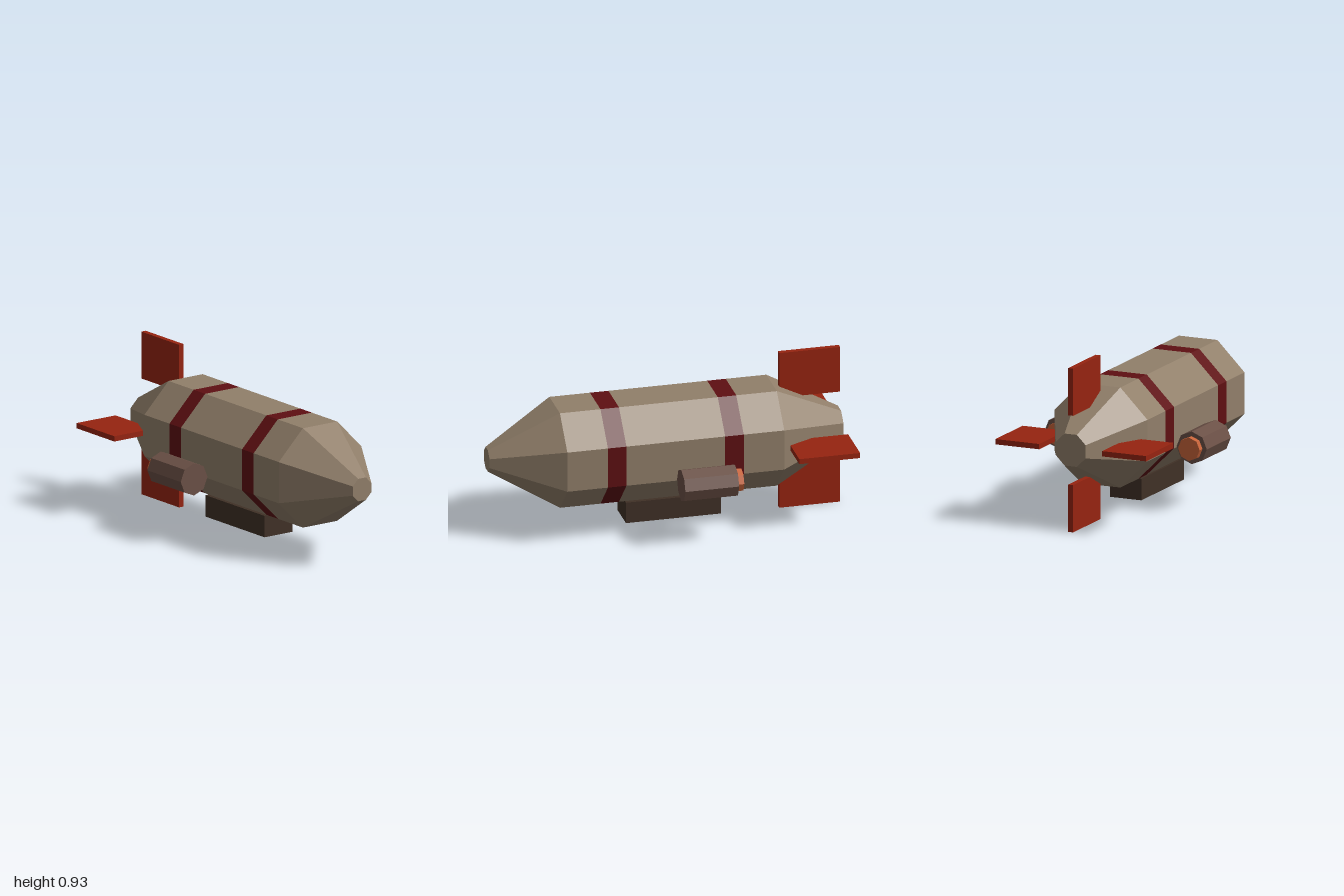
import * as THREE from 'three';

const material = (name, color) => {
  const m = new THREE.MeshStandardMaterial({ color });
  m.name = name;
  return m;
};

// Faceted normals baked into the geometry
const faceted = (geometry) => {
  const g = geometry.toNonIndexed();
  g.computeVertexNormals();
  return g;
};

export function createModel() {
  const model = new THREE.Group();
  model.name = 'airship';

  const canvas = material('canvas', 0x917f6a);
  const band = material('bandRed', 0x5e0f12);
  const finRed = material('finRed', 0x962410);
  const engineBrown = material('engineBrown', 0x6b5046);
  const darkWood = material('darkWood', 0x403026);
  const glow = material('exhaustOrange', 0xc8643a);

  const add = (name, geometry, mat, x, y, z, parent = model) => {
    const mesh = new THREE.Mesh(geometry, mat);
    mesh.name = name;
    mesh.position.set(x, y, z);
    parent.add(mesh);
    return mesh;
  };

  // Eight-sided section along z; turn sets whether flats or corners face up
  const section = (front, back, length, turn, open) =>
    faceted(new THREE.CylinderGeometry(front, back, length, 8, 1, open, turn).rotateX(Math.PI / 2));

  // Hull: sections between [z, radius] stations, front to back
  const axisY = 0.463;
  const R = 0.283 / Math.cos(Math.PI / 8);
  const flat = Math.PI / 8;
  const stations = [
    [1, 0.069], [0.615, R], [0.385, R], [0.28, R],
    [-0.28, R], [-0.385, R], [-0.615, R], [-1, 0.098],
  ];
  const names = ['nose', 'hullFront', 'frontBand', 'hullMiddle', 'rearBand', 'hullRear', 'tail'];
  const hull = new THREE.Group();
  hull.name = 'hull';
  model.add(hull);
  names.forEach((name, i) => {
    const [z0, r0] = stations[i];
    const [z1, r1] = stations[i + 1];
    add(name, section(r0, r1, z0 - z1, flat, true),
      name.endsWith('Band') ? band : canvas, 0, axisY, (z0 + z1) / 2, hull);
  });

  // End caps
  add('noseCap', new THREE.CircleGeometry(0.069, 8, flat), canvas, 0, axisY, 1, hull);
  add('tailCap', new THREE.CircleGeometry(0.098, 8, flat).rotateY(Math.PI), canvas, 0, axisY, -1, hull);

  // Gondola slung below the hull
  add('gondola', new THREE.BoxGeometry(0.192, 0.122, 0.54), darkWood, 0, 0.099, -0.035);

  // Upright tail fins
  const finZ = -0.8275, finLength = 0.345;
  const upright = new THREE.BoxGeometry(0.03, 0.267, finLength);
  add('topFin', upright, finRed, 0, 0.7925, finZ);
  add('bottomFin', upright, finRed, 0, 0.1335, finZ);

  // Side fins and engines, mirrored
  for (const [side, s] of [['left', 1], ['right', -1]]) {
    add(side + 'Fin', new THREE.BoxGeometry(0.267, 0.03, finLength), finRed, s * 0.3255, axisY, finZ);
    const engine = new THREE.Group();
    engine.name = side + 'Engine';
    engine.position.set(s * 0.403, 0.367, 0);
    model.add(engine);
    add('nacelle', section(0.092, 0.092, 0.305, 0, false), engineBrown, 0, 0, -0.1525, engine);
    add('exhaust', section(0.066, 0.066, 0.06, 0, false), glow, 0, 0, -0.311, engine);
    add('strut', new THREE.BoxGeometry(0.16, 0.036, 0.115), darkWood, s * -0.1, 0, -0.1525, engine);
  }

  return model;
}
